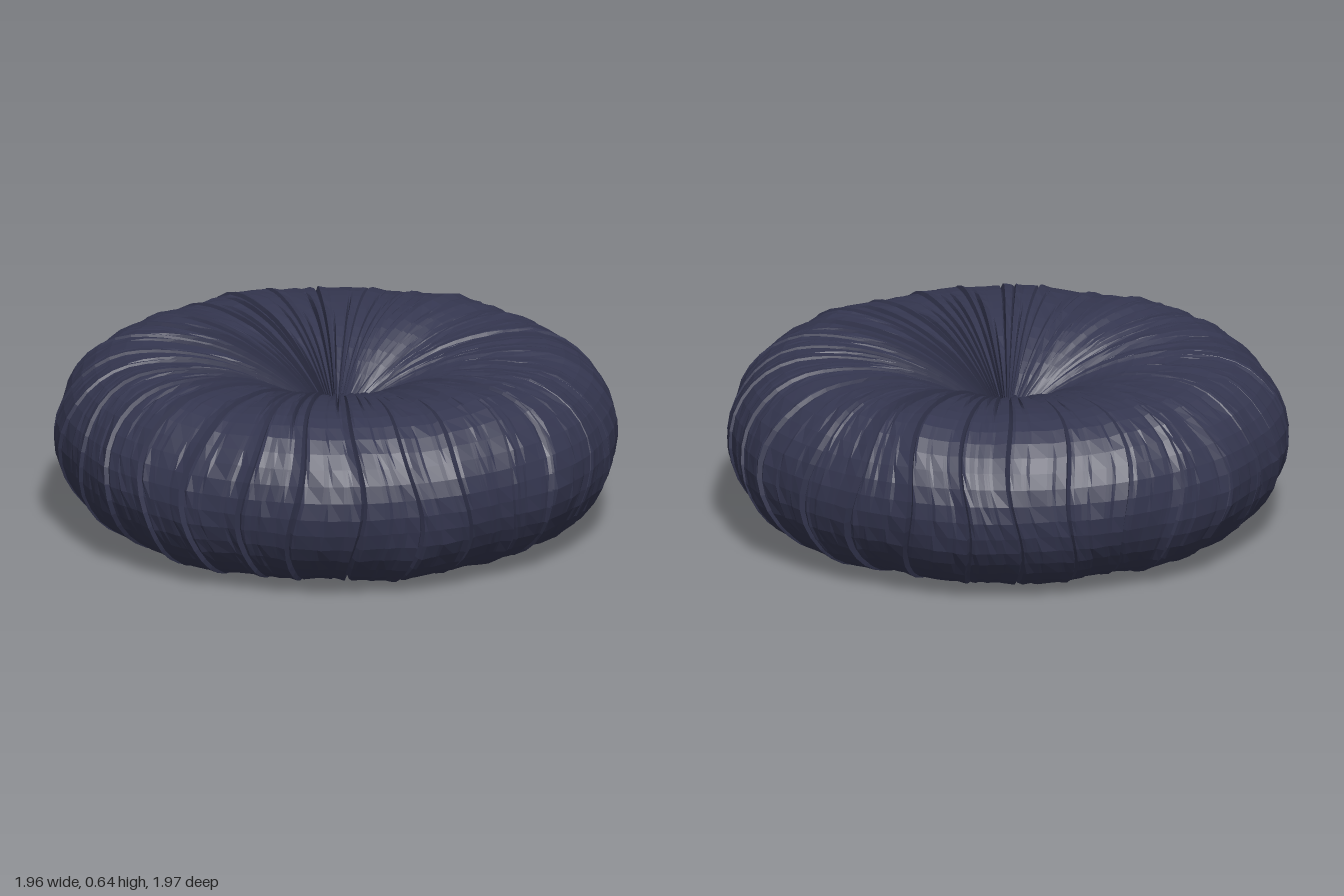
import * as THREE from 'three';

// small seeded generator for the irregular pleats
function seeded(seed) {
  let s = seed;
  return () => {
    s = (s * 16807) % 2147483647;
    return s / 2147483647;
  };
}

const MID_Y = 0.32;

// half profile: radius and height above the middle plane, from the tuft to the rim
const HALF = [
  [0.035, 0.06], [0.1, 0.105], [0.2, 0.175], [0.3, 0.23], [0.42, 0.275], [0.55, 0.298],
  [0.68, 0.302], [0.78, 0.283], [0.87, 0.23], [0.94, 0.145], [0.975, 0.05],
];

function cushionProfile() {
  const bottom = HALF.map(([r, y]) => new THREE.Vector2(r, -y));
  const top = HALF.map(([r, y]) => new THREE.Vector2(r, y)).reverse();
  const pts = new THREE.SplineCurve([...bottom, ...top]).getSpacedPoints(40);
  return [new THREE.Vector2(0, -0.055), ...pts, new THREE.Vector2(0, 0.055)];
}

// each fold gives four columns of vertices: raised lip, crease, and two on the soft panel
function foldColumns(count, rand) {
  const step = (Math.PI * 2) / count;
  const columns = [];
  for (let i = 0; i < count; i++) {
    const angle = (i + (rand() - 0.5) * 0.5) * step;
    const long = i % 3 === 0;
    const fold = {
      depth: long ? 0.014 + rand() * 0.012 : 0.012 + rand() * 0.012,
      reach: { top: 0.4 + rand() * 0.5, bottom: 0.4 + rand() * 0.5 },
      long,
    };
    const lip = step * (0.1 + rand() * 0.08);
    columns.push({ angle: angle - lip, lift: 0.5, fold });
    columns.push({ angle, lift: -1, fold });
    columns.push({ angle: angle + step * 0.14, lift: 0, fold });
    columns.push({ angle: angle + step * 0.32, lift: 0.15, fold, loose: true });
  }
  columns.push({ ...columns[0], angle: columns[0].angle + Math.PI * 2 });
  return columns;
}

// short folds fade out before the rim, long ones run all the way round
function foldStrength(fold, r, y) {
  const reach = y > 0 ? fold.reach.top : fold.reach.bottom;
  const fade = 1 - THREE.MathUtils.smoothstep(r, reach - 0.25, reach);
  const centre = Math.min(1, r / 0.12);
  return centre * (fold.long ? Math.max(0.65, fade) : fade);
}

function pleatedCushion() {
  const rand = seeded(4711);
  const profile = cushionProfile();
  const columns = foldColumns(90, rand);
  const rows = profile.length;
  const geometry = new THREE.LatheGeometry(profile, columns.length - 1);
  const pos = geometry.attributes.position;

  columns.forEach((col, i) => {
    for (let j = 0; j < rows; j++) {
      const index = i * rows + j;
      if (i === columns.length - 1) {
        // close the seam exactly
        pos.setXYZ(index, pos.getX(j), pos.getY(j), pos.getZ(j));
        continue;
      }
      const p = profile[j];
      const before = profile[Math.max(0, j - 1)];
      const after = profile[Math.min(rows - 1, j + 1)];
      const normal = new THREE.Vector2(after.y - before.y, before.x - after.x).normalize();

      // pleat plus a gentle unevenness of the padding
      let push = col.lift * col.fold.depth * foldStrength(col.fold, p.x, p.y);
      push += 0.006 * p.x * Math.sin(col.angle * 7 + p.y * 5);
      push += 0.005 * p.x * Math.sin(col.angle * 13 - p.y * 9);
      if (col.loose) push += (rand() - 0.5) * 0.01 * p.x;

      // the folds sway slightly on their way round
      const angle = col.angle + 0.03 * Math.sin(p.y * 9 + col.angle * 5) * p.x;
      const r = Math.max(0, p.x + normal.x * push);
      pos.setXYZ(index, r * Math.sin(angle), MID_Y + p.y + normal.y * push, r * Math.cos(angle));
    }
  });
  geometry.deleteAttribute('normal');
  geometry.computeVertexNormals();
  return geometry;
}

export function createModel() {
  const group = new THREE.Group();
  group.name = 'tuftedCushion';
  const fabric = new THREE.MeshStandardMaterial({
    color: 0x34364f, flatShading: true, side: THREE.DoubleSide,
  });

  const cushion = new THREE.Mesh(pleatedCushion(), fabric);
  cushion.name = 'pleatedCushion';
  group.add(cushion);

  // covered buttons pulling the middle in on both faces
  for (const side of [1, -1]) {
    const button = new THREE.Mesh(new THREE.SphereGeometry(0.05, 14, 8), fabric);
    button.name = side > 0 ? 'topButton' : 'bottomButton';
    button.scale.y = 0.5;
    button.position.y = MID_Y + side * 0.065;
    group.add(button);
  }
  return group;
}
